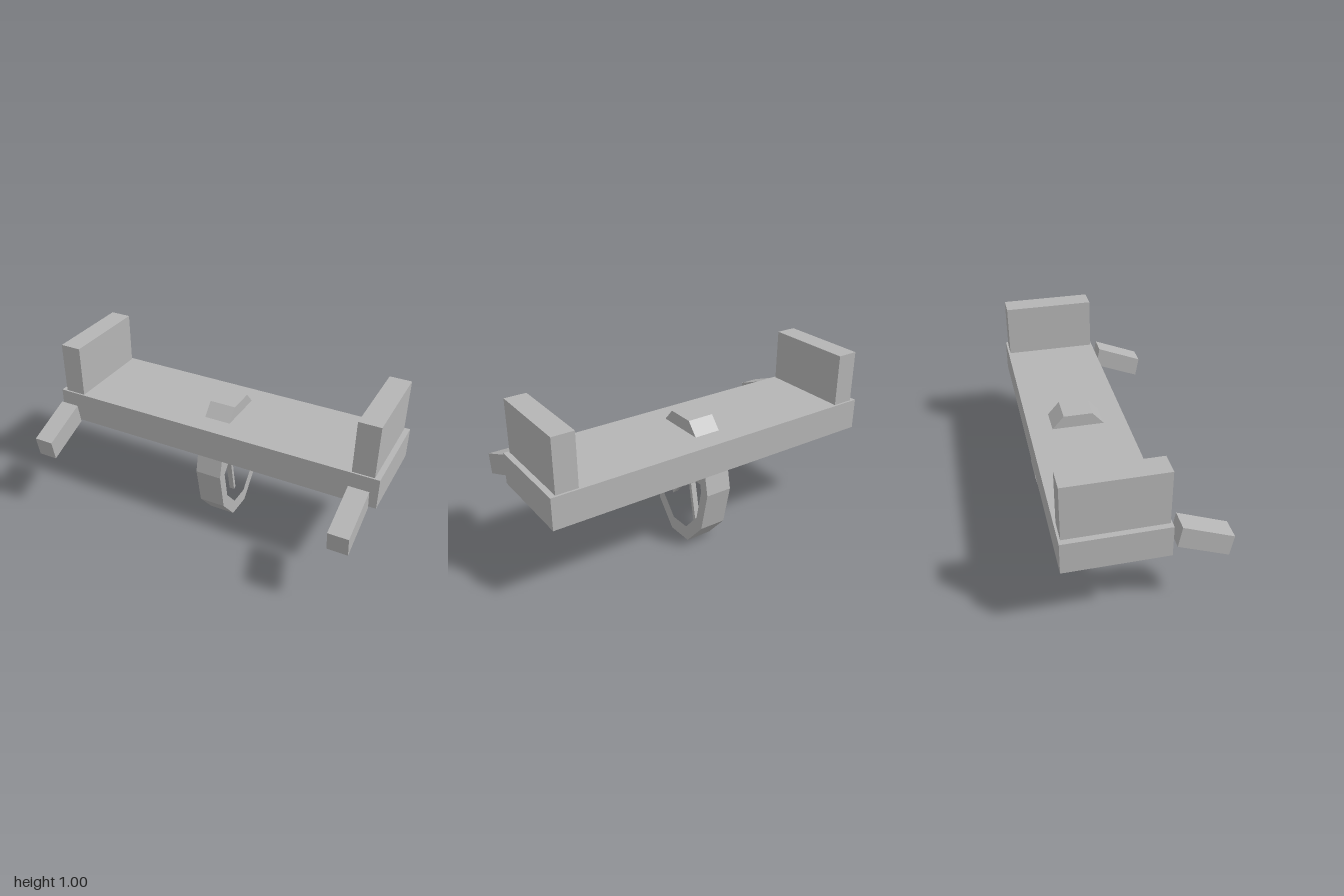
import * as THREE from 'three';

const grey = new THREE.MeshStandardMaterial({ color: 0xb4b4b4, flatShading: true });
grey.name = 'plain grey';

function mesh(name, geometry, parent) {
  const m = new THREE.Mesh(geometry, grey);
  m.name = name;
  parent.add(m);
  return m;
}

// Box given by its lower and upper corners
function block(name, min, max, parent) {
  const size = max.map((v, i) => v - min[i]);
  const m = mesh(name, new THREE.BoxGeometry(...size), parent);
  m.position.set(...max.map((v, i) => (v + min[i]) / 2));
  return m;
}

// Side outline in (z, y), extruded across x and centred on x = 0
function sideExtrude(points, width, hole) {
  const shape = new THREE.Shape(points);
  if (hole) shape.holes.push(new THREE.Path(hole));
  const g = new THREE.ExtrudeGeometry(shape, { depth: width, bevelEnabled: false });
  g.translate(0, 0, -width / 2);
  return g.rotateY(-Math.PI / 2);
}

// Regular polygon with its first corner pointing to the back
function polygon(sides, radius) {
  return Array.from({ length: sides }, (_, i) => {
    const a = (i / sides) * Math.PI * 2;
    return new THREE.Vector2(-Math.cos(a) * radius, Math.sin(a) * radius);
  });
}

export function createModel() {
  const model = new THREE.Group();
  model.name = 'barrow';

  // Flat bed
  block('bed', [-1, 0.517, -0.438], [1, 0.697, 0.11], model);

  // End boards and sloping handles on both sides
  const handleOutline = [[0.165, 0.651], [0.145, 0.533], [0.418, 0.423], [0.438, 0.541]]
    .map(([z, y]) => new THREE.Vector2(z, y));
  for (const [side, s] of [['left', 1], ['right', -1]]) {
    const board = block(side + 'EndBoard', [-0.062, 0.697, -0.426], [0.062, 1, 0.1], model);
    board.position.x = s * 0.907;
    const handle = mesh(side + 'Handle', sideExtrude(handleOutline, 0.114), model);
    handle.position.x = s * 0.909;
  }

  // Ten-sided wheel, squeezed front to back, poking through the bed
  const wheel = new THREE.Group();
  wheel.name = 'wheel';
  wheel.position.set(0, 0.385, -0.163);
  wheel.scale.z = 0.643;
  model.add(wheel);
  mesh('rim', sideExtrude(polygon(10, 0.405), 0.156, polygon(10, 0.316)), wheel);
  mesh('hub', sideExtrude(polygon(7, 0.063), 0.13), wheel);

  // Five spokes
  for (let i = 0; i < 5; i++) {
    const g = new THREE.BoxGeometry(0.032, 0.032, 0.28);
    g.translate(0, 0, -0.18);
    g.rotateX((i / 5) * Math.PI * 2);
    mesh('spoke' + (i + 1), g, wheel);
  }
  return model;
}
